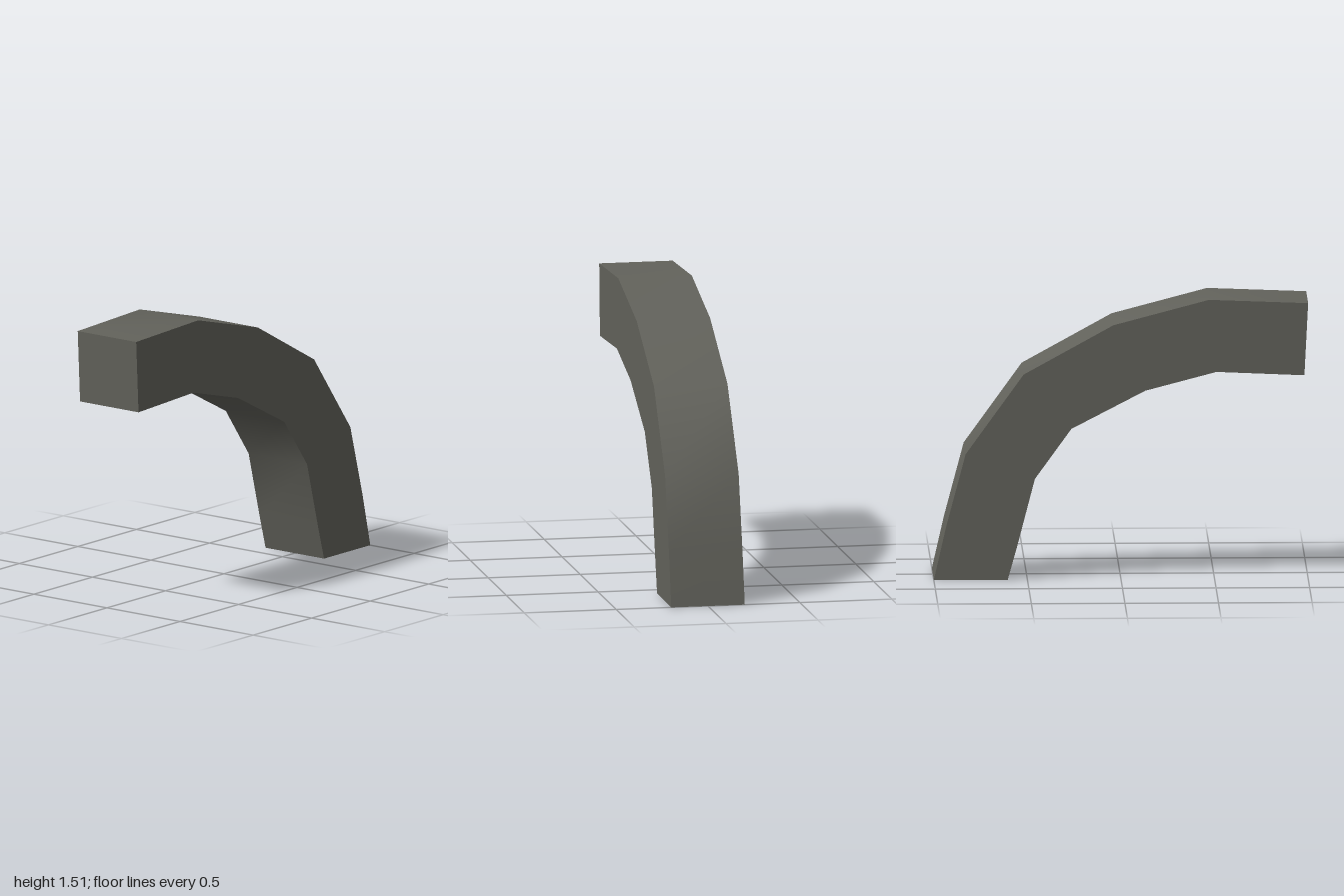
import * as THREE from 'three';
import { toCreasedNormals } from 'three/addons/utils/BufferGeometryUtils.js';

export function createModel() {
  const group = new THREE.Group();
  group.name = 'curvedArm';

  const darkGrey = new THREE.MeshStandardMaterial({ color: 0x62625b });
  darkGrey.name = 'darkGrey';

  // Side profile as [z, y]: outer curve from tip to foot, inner curve likewise
  const outer = [[1, 1.49], [0.47, 1.51], [-0.04, 1.375], [-0.52, 1.11], [-0.83, 0.68], [-0.935, 0.285], [-1, 0]];
  const inner = [[0.98, 1.1], [0.51, 1.12], [0.13, 1.02], [-0.265, 0.815], [-0.46, 0.545], [-0.555, 0.18], [-0.605, 0]];
  const outline = [...outer, ...inner.reverse()].map(([z, y]) => new THREE.Vector2(-z, y));

  // Bent bar: profile extruded across x, smooth along the bend with sharp side edges
  const width = 0.4;
  const bar = new THREE.ExtrudeGeometry(new THREE.Shape(outline), { depth: width, bevelEnabled: false });
  bar.translate(0, 0, -width / 2).rotateY(Math.PI / 2);

  const arm = new THREE.Mesh(toCreasedNormals(bar, Math.PI / 4), darkGrey);
  arm.name = 'bentBar';
  group.add(arm);
  return group;
}
